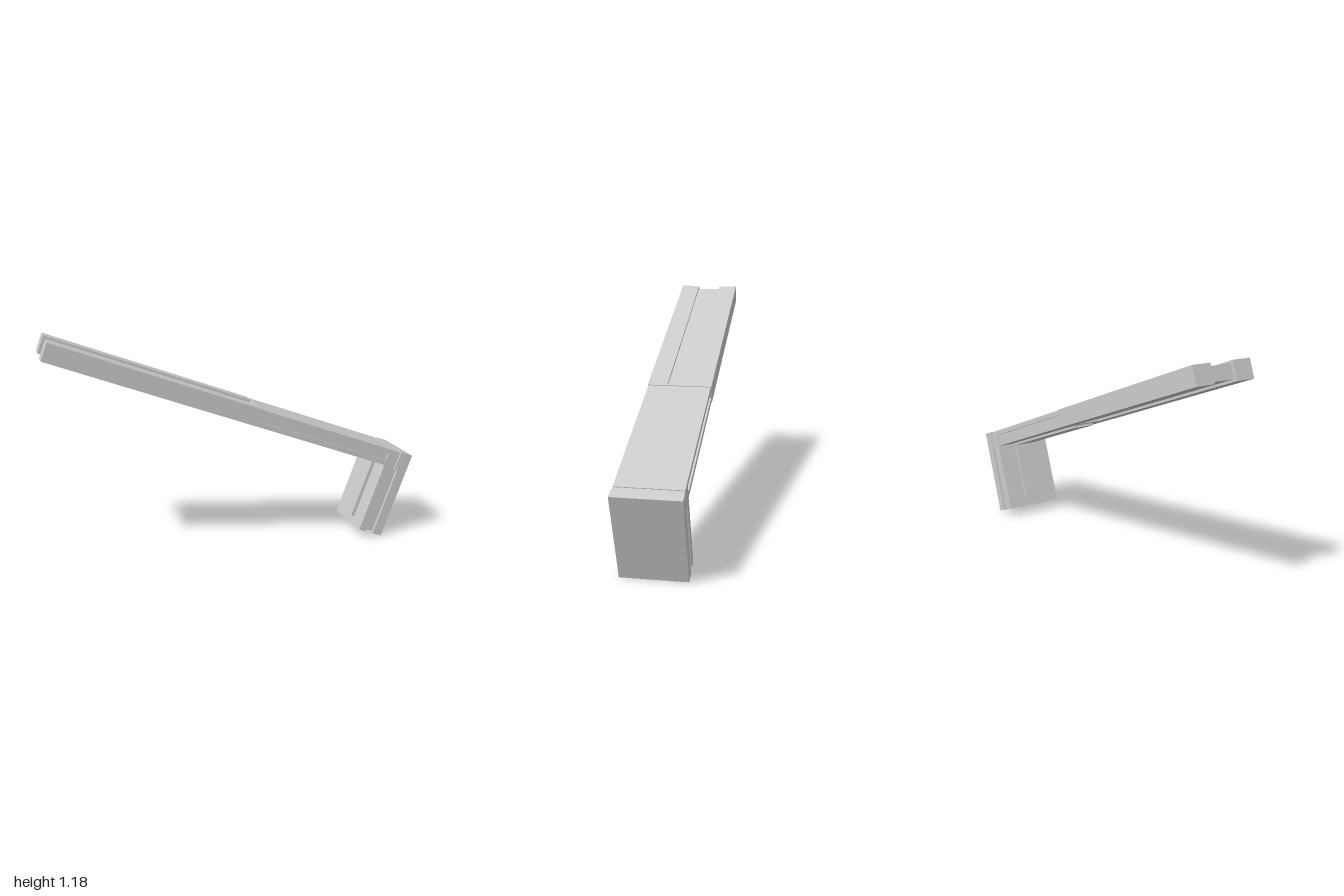
import * as THREE from 'three';

const material = new THREE.MeshStandardMaterial({ color: 0xcccccc, flatShading: true });

// Main sizes, measured from the outer corner of the L
const LENGTH = 2.095, SEAM = -0.922, THICK = 0.096;
const LEG = 0.4886, LEG_W = 0.141, HALF = 0.168;
const STEP = 0.003;    // the joined half sits slightly inside the channel half
const GROOVE = 0.012;  // depth of the side grooves

function add(parent, geometry, name) {
  const mesh = new THREE.Mesh(geometry, material);
  mesh.name = name;
  parent.add(mesh);
  return mesh;
}

// Box given by its limits
function block(parent, name, x0, x1, y0, y1, z0, z1) {
  const g = new THREE.BoxGeometry(x1 - x0, y1 - y0, z1 - z0);
  add(parent, g, name).position.set((x0 + x1) / 2, (y0 + y1) / 2, (z0 + z1) / 2);
}

// Flat profile extruded from z0 to z1
function plate(parent, name, points, z0, z1, hole) {
  const toVec = ([x, y]) => new THREE.Vector2(x, y);
  const shape = new THREE.Shape(points.map(toVec));
  if (hole) shape.holes.push(new THREE.Path(hole.map(toVec)));
  const g = new THREE.ExtrudeGeometry(shape, { depth: z1 - z0, bevelEnabled: false });
  add(parent, g, name).position.z = z0;
}

export function createModel() {
  const model = new THREE.Group();
  const body = new THREE.Group();
  body.name = 'angledBody';
  body.position.set(1, 0.4585, 0);
  body.rotation.z = -THREE.MathUtils.degToRad(20.2);
  model.add(body);

  // Channel half of the arm: two rails, a thin web and a closing block
  const slotEnd = -0.934, slotHalf = 0.065;
  const channel = new THREE.Group();
  channel.name = 'channelArm';
  body.add(channel);
  block(channel, 'channelRailFront', -LENGTH, slotEnd, -THICK, 0, slotHalf, HALF);
  block(channel, 'channelRailBack', -LENGTH, slotEnd, -THICK, 0, -HALF, -slotHalf);
  block(channel, 'channelWeb', -LENGTH + 0.018, slotEnd, -THICK + 0.012, -0.012, -slotHalf, slotHalf);
  block(channel, 'channelEnd', slotEnd, SEAM, -THICK, 0, -HALF, HALF);

  // Solid half: L-shaped core with a cut across the top and a notch below
  const cut0 = -0.078, cut1 = -0.070;
  const notch0 = -0.10, notch1 = -0.055, grooveTop = -0.11;
  const outer = HALF - STEP, inner = outer - GROOVE;
  plate(body, 'cornerCore', [
    [SEAM, -THICK], [-LEG_W, -THICK], [-LEG_W, -LEG],
    [notch0, -LEG], [notch0, -LEG + 0.009], [notch1, -LEG + 0.009], [notch1, -LEG],
    [0, -LEG], [0, 0], [cut1, 0], [cut1, -0.008], [cut0, -0.008], [cut0, -STEP], [SEAM, -STEP],
  ], -inner, inner);

  // Side cheeks that leave the grooves open on both faces
  for (const side of [1, -1]) {
    const z0 = side > 0 ? inner : -outer;
    const z1 = side > 0 ? outer : -inner;
    plate(body, 'armCheek', [
      [SEAM, -THICK], [-LEG_W, -THICK], [-LEG_W, -LEG], [notch0, -LEG],
      [notch0, grooveTop], [cut0, grooveTop], [cut0, -STEP], [SEAM, -STEP],
    ], z0, z1, [[-0.916, -0.03], [-0.143, -0.03], [-0.143, -0.068], [-0.916, -0.068]]);
    plate(body, 'legCheek', [
      [notch1, -LEG], [0, -LEG], [0, 0], [cut1, 0], [cut1, grooveTop], [notch1, grooveTop],
    ], z0, z1);
    // Thin outer skin on the corner brings it to full width
    const s0 = side > 0 ? outer : -HALF;
    block(body, 'legEdge', notch1, 0, -LEG, 0, s0, s0 + STEP);
  }

  // Raised tongues under the arm and on the inside of the leg
  block(body, 'armTongue', -0.877, -LEG_W, -0.109, -THICK, -slotHalf, slotHalf);
  block(body, 'legTongue', -0.160, -LEG_W, -0.445, -THICK, -0.055, 0.055);

  return model;
}
